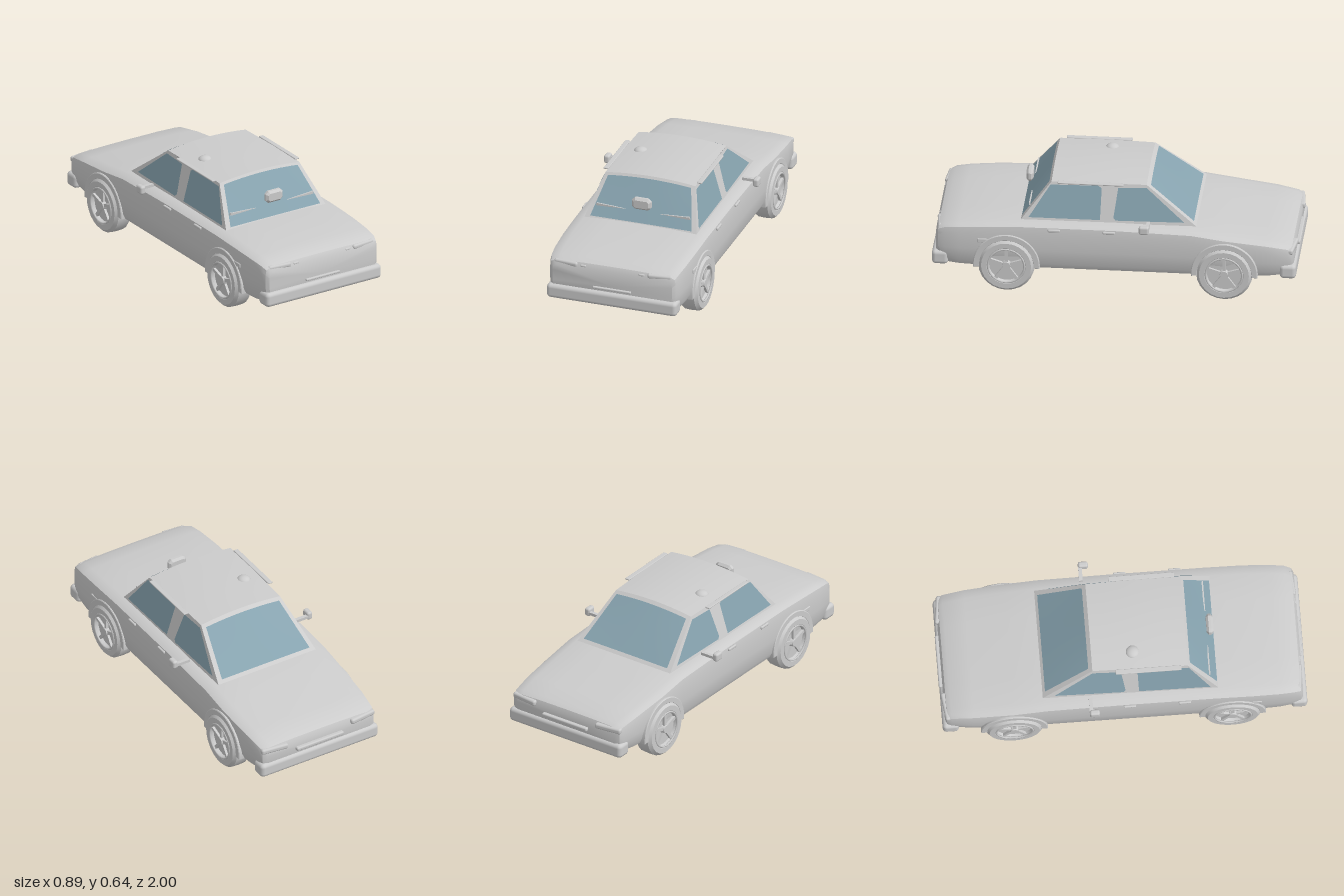
import * as THREE from 'three';
import { toCreasedNormals } from 'three/addons/utils/BufferGeometryUtils.js';
import { RoundedBoxGeometry } from 'three/addons/geometries/RoundedBoxGeometry.js';

const paint = new THREE.MeshStandardMaterial({ color: 0xcccccc, side: THREE.DoubleSide });
const glass = new THREE.MeshStandardMaterial({ color: 0x87a3af, side: THREE.DoubleSide });
const lerp = THREE.MathUtils.lerp;

function add(parent, name, geometry, x = 0, y = 0, z = 0, material = paint) {
  const mesh = new THREE.Mesh(geometry, material);
  mesh.name = name;
  mesh.position.set(x, y, z);
  parent.add(mesh);
  return mesh;
}

function fromArrays(positions, index) {
  const g = new THREE.BufferGeometry();
  g.setAttribute('position', new THREE.Float32BufferAttribute(positions, 3));
  g.setIndex(index);
  return toCreasedNormals(g, 0.6);
}

const rounded = (w, h, d, r) => new RoundedBoxGeometry(w, h, d, 2, r);

// Lower body: cross-sections [z, half width, bottom, shoulder, top], rear to front
function bodyGeometry() {
  const sections = [
    [-0.975, 0.33, 0.18, 0.27, 0.285], [-0.965, 0.355, 0.165, 0.29, 0.31],
    [-0.94, 0.365, 0.15, 0.305, 0.325], [-0.82, 0.377, 0.138, 0.325, 0.346],
    [-0.6, 0.386, 0.135, 0.35, 0.376], [-0.42, 0.386, 0.135, 0.375, 0.402],
    [0, 0.386, 0.135, 0.385, 0.41], [0.5, 0.386, 0.135, 0.385, 0.411],
    [0.7, 0.386, 0.135, 0.378, 0.403], [0.85, 0.381, 0.138, 0.368, 0.391],
    [0.93, 0.373, 0.145, 0.358, 0.379], [0.965, 0.362, 0.155, 0.342, 0.362],
    [0.978, 0.345, 0.17, 0.32, 0.338],
  ];
  const pos = [], idx = [];
  for (const [z, w, b, s, t] of sections) {
    const half = [[0, b], [0.94 * w, b], [0.98 * w, b + 0.03], [w, lerp(b, s, 0.45)], [w, lerp(b, s, 0.85)],
      [0.985 * w, s], [0.93 * w, lerp(s, t, 0.45)], [0.84 * w, lerp(s, t, 0.75)], [0.45 * w, lerp(s, t, 0.95)], [0, t]];
    const ring = [...half, ...half.slice(1, -1).reverse().map(([x, y]) => [-x, y])];
    for (const [x, y] of ring) pos.push(x, y, z);
  }
  const n = 18, last = (sections.length - 1) * n;
  for (let i = 0; i < sections.length - 1; i++)
    for (let j = 0; j < n; j++) {
      const a = i * n + j, b = i * n + (j + 1) % n;
      idx.push(a, b, b + n, a, b + n, a + n);
    }
  // End caps
  const c = pos.length / 3;
  pos.push(0, 0.24, sections[0][0], 0, 0.25, sections[sections.length - 1][0]);
  for (let j = 0; j < n; j++) {
    const k = (j + 1) % n;
    idx.push(c, k, j, c + 1, last + j, last + k);
  }
  return fromArrays(pos, idx);
}

// Cabin surface rules
const sideX = (y, z) => 0.325 - 0.3 * (y - 0.4) - 0.014 * (0.52 - z);
const levelY = v => 0.4 + 0.21 * v;
const frontZ = v => 0.52 - 0.165 * v;
const rearZ = v => -0.44 + 0.275 * v;
const crown = u => 0.018 * (1 - (2 * u - 1) ** 2);

const screen = (zAt, dir) => (u, v) => {
  const z = zAt(v), y = levelY(v);
  return [dir * (2 * u - 1) * sideX(y, z), y + crown(u) * v, z];
};
const windshield = screen(frontZ, 1);
const rearScreen = screen(rearZ, -1);
const roof = (u, v) => {
  const z = lerp(frontZ(1), rearZ(1), v);
  return [(2 * u - 1) * sideX(0.61, z), 0.61 + crown(u) + 0.004 * Math.sin(Math.PI * v), z];
};
const cabinSide = s => (u, v) => {
  const z = lerp(frontZ(v), rearZ(v), s > 0 ? u : 1 - u);
  return [s * sideX(levelY(v), z), levelY(v), z];
};

// Grid patch over a sub-range of a surface rule
function patch(rule, u0 = 0, u1 = 1, v0 = 0, v1 = 1, nu = 12, nv = 6) {
  const pos = [], idx = [];
  for (let j = 0; j <= nv; j++)
    for (let i = 0; i <= nu; i++) pos.push(...rule(lerp(u0, u1, i / nu), lerp(v0, v1, j / nv)));
  for (let j = 0; j < nv; j++)
    for (let i = 0; i < nu; i++) {
      const a = j * (nu + 1) + i, b = a + nu + 1;
      idx.push(a, a + 1, b + 1, a, b + 1, b);
    }
  return fromArrays(pos, idx);
}

// Side window from a (z, y) outline laid on the cabin side
function sideWindow(points, s) {
  const g = new THREE.ShapeGeometry(new THREE.Shape(points.map(p => new THREE.Vector2(...p))));
  const p = g.attributes.position;
  for (let i = 0; i < p.count; i++) {
    const z = p.getX(i), y = p.getY(i);
    p.setXYZ(i, s * (sideX(y, z) + 0.003), y, z);
  }
  if (s > 0) g.setIndex([...g.index.array].reverse());
  g.computeVertexNormals();
  return g;
}

// Wheel with its outer face toward +x
function makeWheel() {
  const wheel = new THREE.Group();
  const profile = [[0, -0.055], [0.125, -0.055], [0.14, -0.052], [0.153, -0.038], [0.155, 0], [0.153, 0.038],
    [0.137, 0.055], [0.108, 0.055], [0.1, 0.05], [0.095, 0.032], [0, 0.032]];
  const tyre = new THREE.LatheGeometry(profile.map(p => new THREE.Vector2(...p)), 24).rotateZ(-Math.PI / 2);
  add(wheel, 'tyre', toCreasedNormals(tyre, 0.5));
  add(wheel, 'rimRing', new THREE.TorusGeometry(0.1, 0.006, 6, 24).rotateY(Math.PI / 2), 0.053);
  add(wheel, 'hub', new THREE.CylinderGeometry(0.022, 0.028, 0.024, 12).rotateZ(-Math.PI / 2), 0.042);
  for (let i = 0; i < 5; i++) {
    const spoke = new THREE.BoxGeometry(0.014, 0.078, 0.018).translate(0, 0.06, 0);
    add(wheel, 'spoke', spoke, 0.04).rotation.x = i * Math.PI * 0.4;
  }
  return wheel;
}

function archGeometry() {
  const shape = new THREE.Shape();
  shape.absarc(0, 0, 0.178, -0.08, Math.PI + 0.08, false);
  shape.absarc(0, 0, 0.15, Math.PI + 0.08, -0.08, true);
  const g = new THREE.ExtrudeGeometry(shape, { depth: 0.035, bevelEnabled: true, bevelSize: 0.004,
    bevelThickness: 0.004, bevelSegments: 1, curveSegments: 24 });
  return toCreasedNormals(g.translate(0, 0, -0.0175).rotateY(Math.PI / 2), 0.5);
}

export function createModel() {
  const car = new THREE.Group();
  car.name = 'car';
  add(car, 'body', bodyGeometry());

  // Cabin shell and front and rear glass
  add(car, 'windshieldFrame', patch(windshield));
  add(car, 'rearWindowFrame', patch(rearScreen));
  add(car, 'roof', patch(roof));
  add(car, 'windshield', patch(windshield, 0.045, 0.955, 0.06, 0.94), 0, 0.002, 0.003, glass);
  add(car, 'rearWindow', patch(rearScreen, 0.045, 0.955, 0.06, 0.93), 0, 0.003, -0.002, glass);

  const frontPane = [[0.475, 0.418], [0.36, 0.595], [0.1, 0.598], [0.08, 0.585], [0.085, 0.416]];
  const rearPane = [[0.012, 0.43], [-0.01, 0.59], [-0.165, 0.595], [-0.375, 0.418], [0, 0.416]];

  for (const s of [1, -1]) {
    add(car, 'cabinSide', patch(cabinSide(s)));
    add(car, 'frontSideWindow', sideWindow(frontPane, s), 0, 0, 0, glass);
    add(car, 'rearSideWindow', sideWindow(rearPane, s), 0, 0, 0, glass);
    add(car, 'roofRail', rounded(0.028, 0.009, 0.36, 0.004), s * 0.27, 0.613, 0.14);

    // Wheels and arches
    for (const z of [0.59, -0.6]) {
      const wheel = makeWheel();
      wheel.name = 'wheel';
      wheel.position.set(s * 0.35, 0.155, z);
      if (s < 0) wheel.rotation.y = Math.PI;
      car.add(wheel);
      add(car, 'wheelArch', archGeometry(), s * 0.372, 0.155, z);
    }

    // Door handles, side marker and mirror
    for (const z of [0.33, 0.03]) add(car, 'doorHandle', rounded(0.014, 0.016, 0.068, 0.006), s * 0.386, 0.373, z);
    add(car, 'sideMarker', rounded(0.012, 0.026, 0.06, 0.005), s * 0.384, 0.295, 0.72);
    add(car, 'mirrorArm', new THREE.BoxGeometry(0.08, 0.016, 0.02), s * 0.38, 0.421, -0.182);
    add(car, 'mirror', rounded(0.033, 0.048, 0.055, 0.012), s * 0.43, 0.423, -0.165);

    // Lamps
    add(car, 'frontLamp', rounded(0.14, 0.028, 0.04, 0.012), s * 0.27, 0.345, 0.955).rotation.y = s * 0.1;
    add(car, 'frontIndicator', rounded(0.036, 0.016, 0.03, 0.007), s * 0.168, 0.343, 0.962);
    add(car, 'rearLamp', rounded(0.16, 0.032, 0.04, 0.012), s * 0.28, 0.287, -0.962).rotation.y = -s * 0.12;

    // Tapered wiper
    const blade = new THREE.Shape([[0.1, 0.47], [0.26, 0.464], [0.272, 0.466], [0.268, 0.48], [0.255, 0.478]]
      .map(([x, y]) => new THREE.Vector2(s * x, y)));
    add(car, 'wiper', new THREE.ExtrudeGeometry(blade, { depth: 0.008, bevelEnabled: false }), 0, 0, 0.47);
  }

  // Bumpers and plates
  for (const [name, z] of [['frontBumper', 0.955], ['rearBumper', -0.945]])
    add(car, name, rounded(0.75, 0.082, 0.09, 0.022), 0, 0.172, z);
  add(car, 'frontTrim', rounded(0.22, 0.013, 0.03, 0.005), 0, 0.231, 0.975);
  add(car, 'rearTrim', rounded(0.3, 0.022, 0.03, 0.008), 0, 0.242, -0.98);

  // Raised box ahead of the windshield
  const box = new THREE.Shape([[-0.055, -0.018], [-0.038, -0.034], [0.038, -0.034], [0.055, -0.018],
    [0.055, 0.018], [0.038, 0.034], [-0.038, 0.034], [-0.055, 0.018]].map(p => new THREE.Vector2(...p)));
  const boxGeometry = new THREE.ExtrudeGeometry(box, { depth: 0.014, bevelEnabled: true, bevelSize: 0.012,
    bevelThickness: 0.012, bevelOffset: -0.012, bevelSegments: 1 });
  add(car, 'windshieldBox', boxGeometry, 0, 0.527, 0.487);

  // Roof beacon
  add(car, 'roofBeacon', new THREE.SphereGeometry(0.038, 20, 12), -0.16, 0.616, 0.06).scale.y = 0.65;

  return car;
}
